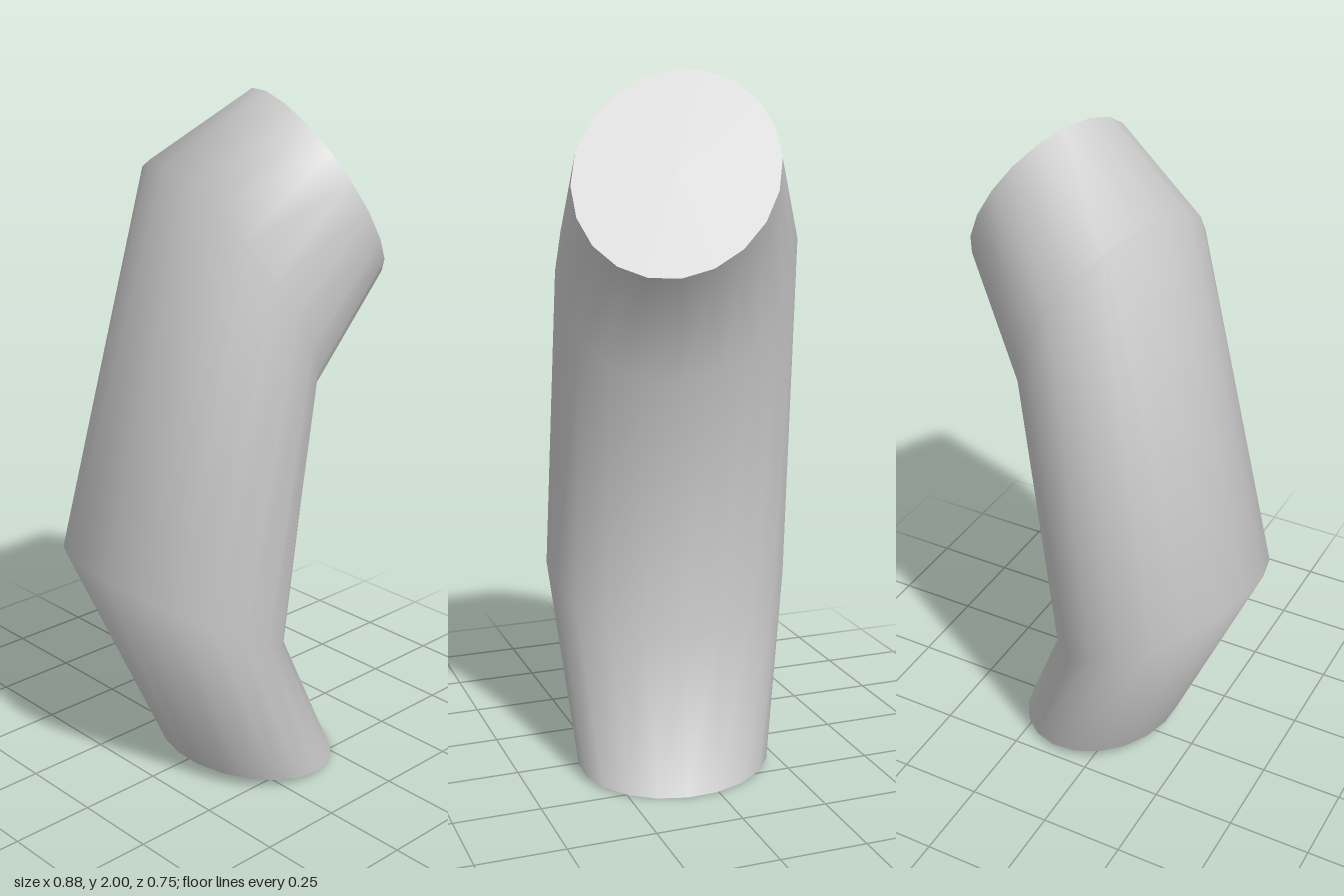
import * as THREE from 'three';

const SIDES = 20;

// Elliptical cross-sections from bottom to top: centre and two conjugate half-axes
const RINGS = [
  { c: [0.088, 0.022, 0.05], u: [0.243, -0.022, 0], v: [0, -0.005, 0.283] },
  { c: [-0.148, 0.565, -0.015], u: [0.295, -0.157, 0], v: [-0.01, -0.025, 0.364] },
  { c: [0.04, 1.495, 0.018], u: [0.191, -0.315, 0], v: [-0.04, -0.09, 0.34] },
  { c: [0.278, 1.738, 0.108], u: [0.156, -0.252, 0], v: [-0.042, -0.075, 0.274] },
];

// Vertex j of a cross-section, with a flat edge centred on each axis
function ringPoint({ c, u, v }, j) {
  const a = ((j % SIDES) + 0.5) / SIDES * Math.PI * 2;
  return c.map((x, k) => x + u[k] * Math.cos(a) + v[k] * Math.sin(a));
}

function makeMesh(name, positions, index, material) {
  const geometry = new THREE.BufferGeometry();
  geometry.setAttribute('position', new THREE.Float32BufferAttribute(positions, 3));
  geometry.setIndex(index);
  geometry.computeVertexNormals();
  const mesh = new THREE.Mesh(geometry, material);
  mesh.name = name;
  return mesh;
}

// Flat end disc, facing up or down
function makeCap(name, ring, up, material) {
  const positions = [...ring.c];
  const index = [];
  for (let j = 0; j < SIDES; j++) {
    positions.push(...ringPoint(ring, j));
    const a = j + 1, b = (j + 1) % SIDES + 1;
    index.push(0, ...(up ? [b, a] : [a, b]));
  }
  return makeMesh(name, positions, index, material);
}

export function createModel() {
  const group = new THREE.Group();
  group.name = 'bentTube';
  const material = new THREE.MeshStandardMaterial({ color: 0xcccccc });

  // Smooth wall running through all the cross-sections
  const positions = [];
  const index = [];
  RINGS.forEach((ring, i) => {
    for (let j = 0; j < SIDES; j++) {
      positions.push(...ringPoint(ring, j));
      if (i === RINGS.length - 1) continue;
      const a = i * SIDES + j, b = i * SIDES + (j + 1) % SIDES;
      const c = a + SIDES, d = b + SIDES;
      index.push(a, c, b, b, c, d);
    }
  });
  group.add(makeMesh('tubeWall', positions, index, material));

  // Closed ends
  group.add(makeCap('bottomCap', RINGS[0], false, material));
  group.add(makeCap('topCap', RINGS[RINGS.length - 1], true, material));
  return group;
}
